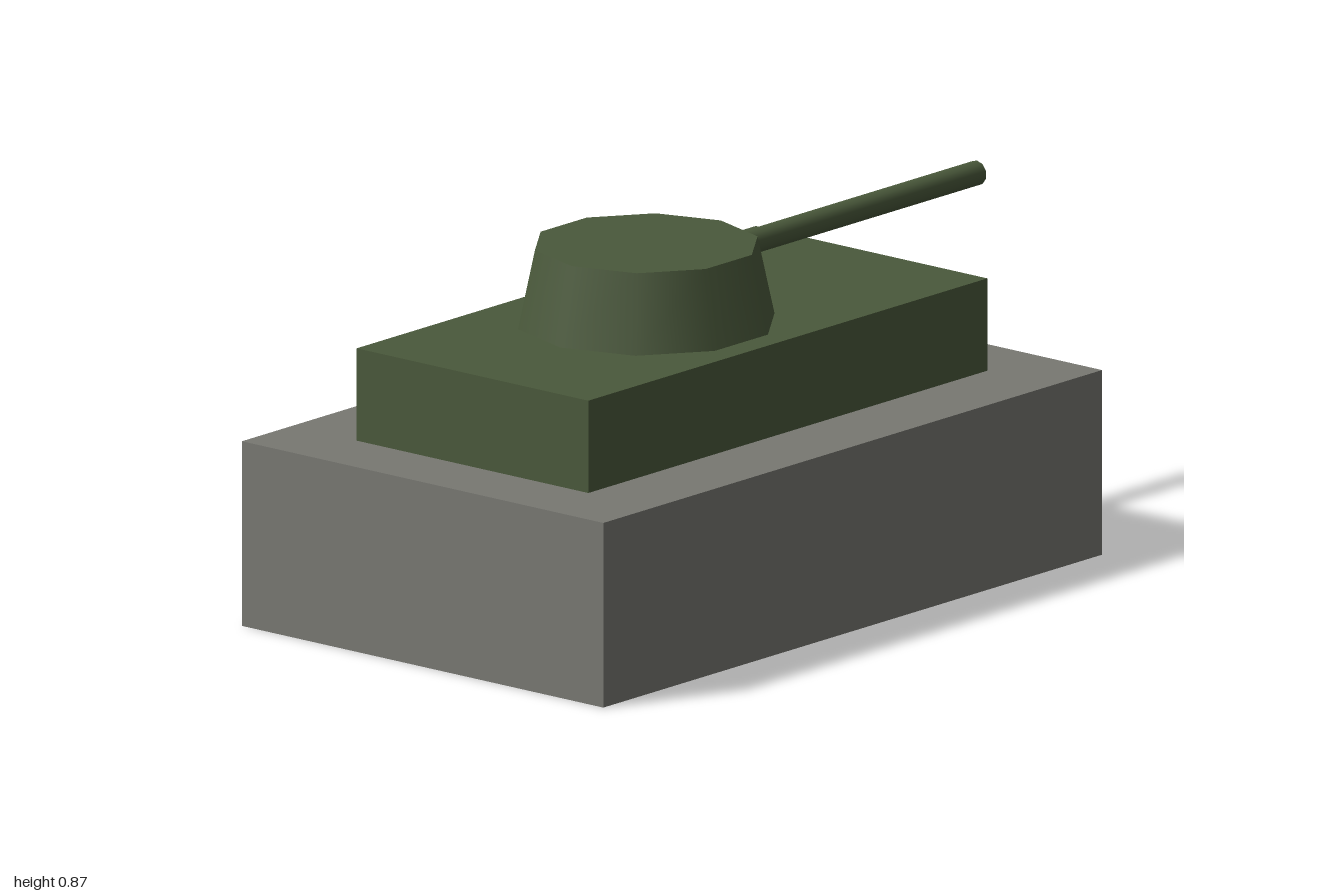
import * as THREE from 'three';

export function createModel() {
  const model = new THREE.Group();
  model.name = 'tank';

  const material = (name, color) => {
    const m = new THREE.MeshStandardMaterial({ color });
    m.name = name;
    return m;
  };
  const grey = material('track grey', 0x787872);
  const green = material('olive green', 0x4a593b);
  const red = material('hatch red', 0x932f37);

  const add = (name, geometry, mat, x, y, z) => {
    const mesh = new THREE.Mesh(geometry, mat);
    mesh.name = name;
    mesh.position.set(x, y, z);
    model.add(mesh);
    return mesh;
  };

  // Box given by its lower and upper corners
  const addBox = (name, mat, [x0, y0, z0], [x1, y1, z1]) =>
    add(name, new THREE.BoxGeometry(x1 - x0, y1 - y0, z1 - z0), mat,
      (x0 + x1) / 2, (y0 + y1) / 2, (z0 + z1) / 2);

  // Stacked body: track block, hull and side panel
  addBox('trackBase', grey, [-0.56, 0, -0.8], [0.56, 0.45, 1]);
  addBox('hull', green, [-0.359, 0.45, -0.62], [0.359, 0.675, 0.82]);
  addBox('sidePanel', red, [-0.381, 0.508, 0.02], [-0.359, 0.663, 0.177]);

  // Tapered ten-sided turret, a corner facing front and back
  add('turret', new THREE.CylinderGeometry(0.269, 0.31, 0.19, 10), green, 0, 0.77, 0.193);

  // Gun barrel reaching backwards from inside the turret
  const barrelStart = 0.1;
  const barrelEnd = -1;
  const barrel = new THREE.CylinderGeometry(0.03, 0.03, barrelStart - barrelEnd, 10);
  barrel.rotateX(-Math.PI / 2);
  add('gunBarrel', barrel, green, 0, 0.79, (barrelStart + barrelEnd) / 2);

  return model;
}
